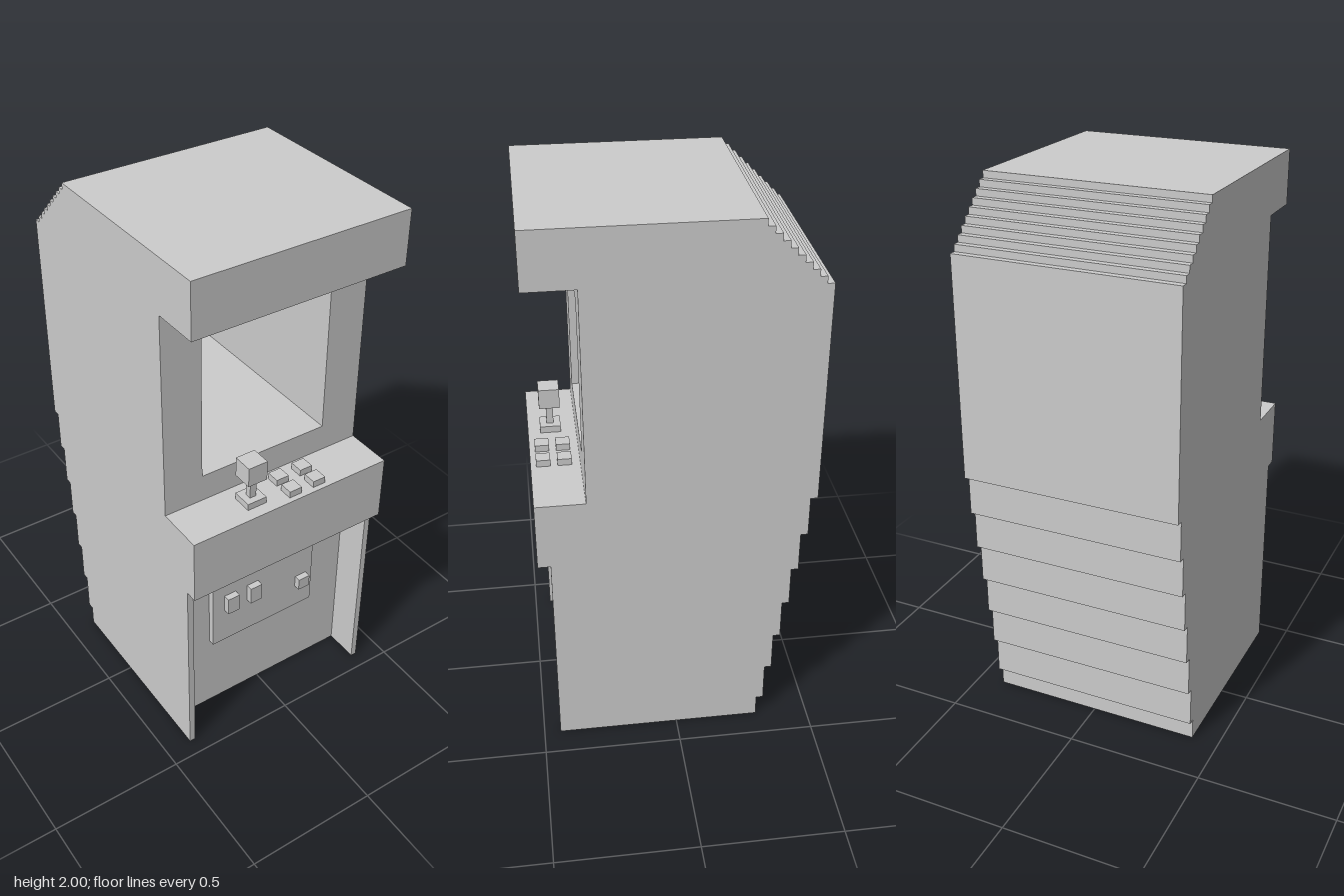
import * as THREE from 'three';

const material = new THREE.MeshStandardMaterial({ color: 0xcccccc, flatShading: true });

// Side outline as [z, y] points, with a stepped back
function cabinetShape(lowerFront, openScreen) {
  const p = [[lowerFront, 0], [lowerFront, 0.777], [0.485, 0.777], [0.485, 1.027], [0.31, 1.027]];
  // Screen cavity cut in from the front
  if (openScreen) p.push([0.31, 1.13], [-0.46, 1.13], [-0.46, 1.703], [0.31, 1.703]);
  p.push([0.31, 1.803], [0.485, 1.803], [0.485, 2]);
  // Small steps down from the roof
  const step = 0.0245;
  for (let i = 0; i < 9; i++) {
    const z = -0.2645 - i * step;
    p.push([z, 2 - i * step], [z, 2 - (i + 1) * step]);
  }
  p.push([-0.485, 2 - 9 * step]);
  // Tall steps tapering in towards the floor
  for (let i = 0; i < 7; i++) {
    const y = 0.98 - i * 0.15, z = -0.485 + i * 0.0255;
    p.push([z, y], [z + 0.0255, y]);
  }
  p.push([-0.3065, 0]);
  return new THREE.Shape(p.map(([z, y]) => new THREE.Vector2(z, y)));
}

// Slab of the cabinet between two x positions
function slab(name, shape, x0, x1) {
  const geometry = new THREE.ExtrudeGeometry(shape, { depth: x1 - x0, bevelEnabled: false });
  geometry.rotateY(-Math.PI / 2).translate(x1, 0, 0);
  const mesh = new THREE.Mesh(geometry, material);
  mesh.name = name;
  return mesh;
}

// Box given by its limits on each axis
function block(name, x0, x1, y0, y1, z0, z1) {
  const mesh = new THREE.Mesh(new THREE.BoxGeometry(x1 - x0, y1 - y0, z1 - z0), material);
  mesh.position.set((x0 + x1) / 2, (y0 + y1) / 2, (z0 + z1) / 2);
  mesh.name = name;
  return mesh;
}

export function createModel() {
  const model = new THREE.Group();
  model.name = 'arcadeCabinet';

  // Body: hollow centre, solid screen borders, side panels reaching further forward
  const border = cabinetShape(0.31, false);
  const side = cabinetShape(0.44, false);
  model.add(
    slab('screenSection', cabinetShape(0.31, true), -0.252, 0.252),
    slab('rightScreenBorder', border, -0.377, -0.252),
    slab('leftScreenBorder', border, 0.252, 0.377),
    slab('rightSidePanel', side, -0.4, -0.377),
    slab('leftSidePanel', side, 0.377, 0.4),
  );

  // Joystick
  const joystick = new THREE.Group();
  joystick.name = 'joystick';
  joystick.add(
    block('joystickBase', -0.155, -0.08, 1.027, 1.052, 0.365, 0.44),
    block('joystickShaft', -0.13, -0.105, 1.052, 1.128, 0.39, 0.415),
    block('joystickKnob', -0.155, -0.08, 1.128, 1.203, 0.365, 0.44),
  );
  model.add(joystick);

  // Two columns of two buttons
  for (const x of [0, 0.1]) {
    for (const z of [0.34, 0.415]) {
      model.add(block('button', x, x + 0.05, 1.027, 1.052, z, z + 0.05));
    }
  }

  // Coin door with two slots and a lock
  const door = new THREE.Group();
  door.name = 'coinDoor';
  door.add(
    block('doorPlate', -0.226, 0.224, 0.328, 0.603, 0.31, 0.335),
    block('coinSlot', -0.175, -0.126, 0.48, 0.552, 0.335, 0.36),
    block('coinSlot', -0.075, -0.026, 0.48, 0.552, 0.335, 0.36),
    block('doorLock', 0.148, 0.197, 0.43, 0.478, 0.335, 0.36),
  );
  model.add(door);

  return model;
}
